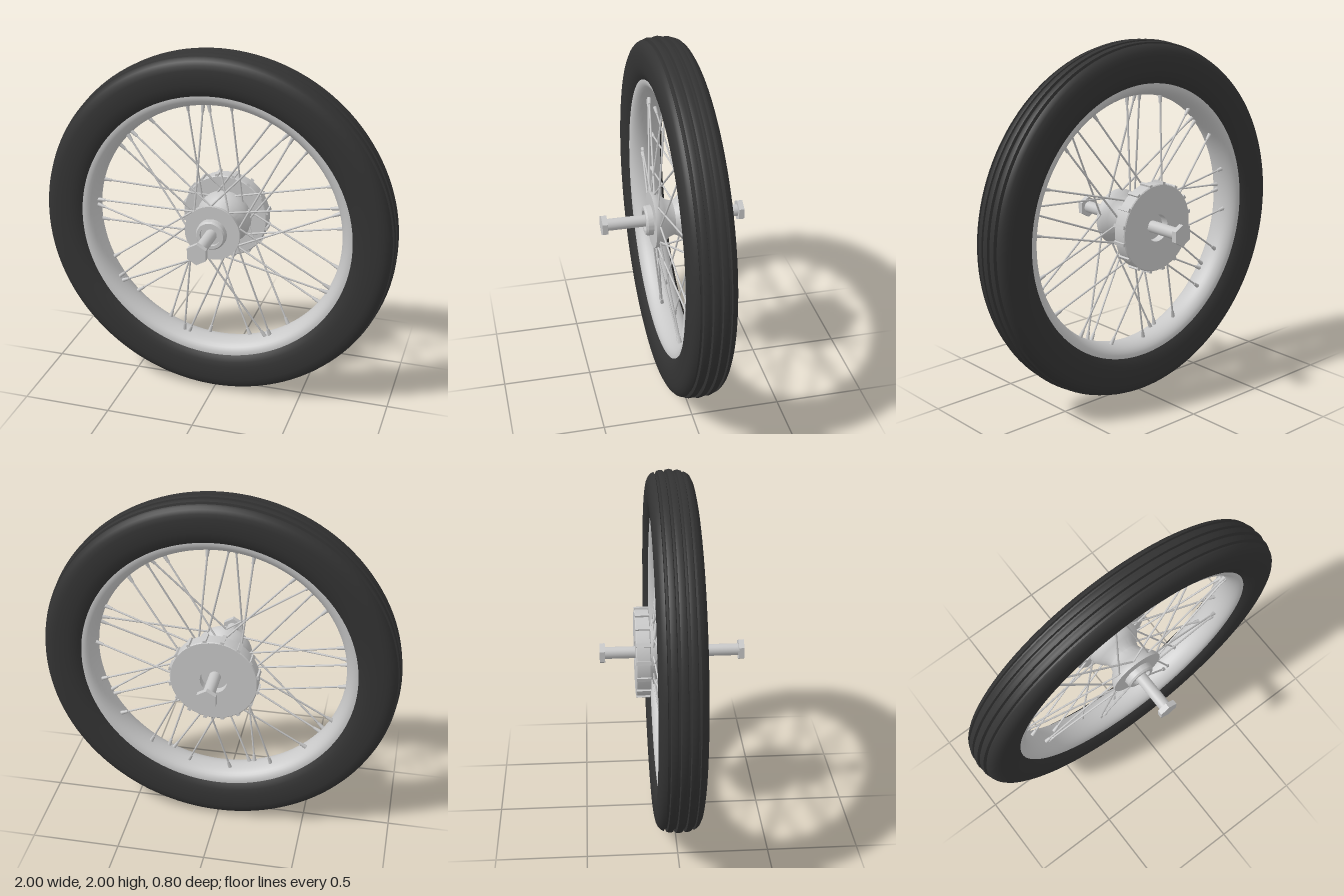
import * as THREE from 'three';
import { toCreasedNormals } from 'three/addons/utils/BufferGeometryUtils.js';

const rubber = new THREE.MeshStandardMaterial({ color: 0x333333 });
rubber.name = 'black rubber';
const metal = new THREE.MeshStandardMaterial({ color: 0xc8c8c8 });
metal.name = 'light metal';

// Profile points are [radius, z], turned round the z axis.
function turned(points, segments, crease = 0.6) {
  const g = new THREE.LatheGeometry(points.map(p => new THREE.Vector2(p[0], p[1])), segments);
  g.rotateX(Math.PI / 2);
  return toCreasedNormals(g, crease);
}

function polar(angle, r, z) {
  const a = THREE.MathUtils.degToRad(angle);
  return new THREE.Vector3(Math.cos(a) * r, Math.sin(a) * r, z);
}

export function createModel() {
  const model = new THREE.Group();
  model.name = 'spokedWheel';
  const wheel = new THREE.Group();
  wheel.name = 'wheel';
  wheel.position.y = 1;
  model.add(wheel);

  const add = (name, geometry, material, parent = wheel) => {
    const mesh = new THREE.Mesh(geometry, material);
    mesh.name = name;
    parent.add(mesh);
    return mesh;
  };

  // Tyre: rounded sidewalls and a tread with four grooves
  const half = [
    [0.765, 0.088], [0.785, 0.103], [0.81, 0.114], [0.84, 0.121], [0.88, 0.123],
    [0.92, 0.122], [0.945, 0.117], [0.965, 0.107], [0.978, 0.094], [0.984, 0.082],
    [0.972, 0.078], [0.972, 0.068], [0.99, 0.064], [0.995, 0.05], [0.993, 0.034],
    [0.977, 0.03], [0.977, 0.02], [0.996, 0.016], [1.0, 0],
  ];
  const mirrored = half.slice(0, -1).map(([r, z]) => [r, -z]);
  add('tyre', turned([...mirrored, ...half.slice().reverse(), [0.765, -0.088]], 128), rubber);

  // Rim: a band curving in towards the hub
  const rimPoints = [];
  for (let i = 0; i <= 16; i++) {
    const a = Math.PI * i / 16;
    rimPoints.push([0.768 - 0.066 * Math.sin(a), 0.094 * Math.cos(a)]);
  }
  rimPoints.push([0.778, -0.094], [0.778, 0.094], [0.768, 0.094]);
  add('rim', turned(rimPoints, 128), metal);

  // Hub shell: waisted barrel with a front flange and boss
  add('hubShell', turned([
    [0.033, -0.13], [0.155, -0.13], [0.155, -0.1], [0.148, -0.075], [0.13, -0.05],
    [0.105, -0.025], [0.095, 0], [0.105, 0.03], [0.13, 0.06], [0.148, 0.085],
    [0.157, 0.105], [0.157, 0.12], [0.085, 0.12], [0.083, 0.15], [0.075, 0.16],
    [0.058, 0.16], [0.058, 0.14], [0.033, 0.14],
  ], 64), metal);

  // Rear drum with an open centre and ribs round its edge
  const drum = new THREE.Group();
  drum.name = 'rearDrum';
  wheel.add(drum);
  add('drumBody', turned([
    [0.033, -0.16], [0.075, -0.16], [0.075, -0.205], [0.238, -0.205], [0.243, -0.2],
    [0.243, -0.13], [0.238, -0.125], [0.033, -0.125],
  ], 64), metal, drum);
  const ribCount = 16;
  for (let i = 0; i < ribCount; i++) {
    const angle = (i + 0.5) * 360 / ribCount;
    const rib = add('drumRib', new THREE.BoxGeometry(0.026, 0.02, 0.078), metal, drum);
    rib.position.copy(polar(angle, 0.24, -0.165));
    rib.rotation.z = THREE.MathUtils.degToRad(angle);
  }

  // Axle with a hexagonal head at each end
  add('axle', new THREE.CylinderGeometry(0.033, 0.033, 0.76, 32).rotateX(Math.PI / 2), metal);
  for (const side of [1, -1]) {
    const head = new THREE.CylinderGeometry(0.06, 0.06, 0.03, 6);
    head.rotateX(Math.PI / 2);
    const bolt = add(side > 0 ? 'frontAxleHead' : 'rearAxleHead', toCreasedNormals(head, 0.4), metal);
    bolt.position.z = side * 0.385;
  }

  // Spokes: nine groups of four, laced to both ends of the hub
  const spokes = new THREE.Group();
  spokes.name = 'spokes';
  wheel.add(spokes);
  const up = new THREE.Vector3(0, 1, 0);
  const spokeSet = [ // rim angle, hub angle shift, side
    [-10, -45, -1], [0, 45, 1], [0, -45, 1], [10, 45, -1],
  ];
  function rod(name, from, to, r0, r1, sides) {
    const length = from.distanceTo(to);
    const mesh = add(name, new THREE.CylinderGeometry(r1, r0, length, sides), metal, spokes);
    mesh.position.copy(from).add(to).multiplyScalar(0.5);
    mesh.quaternion.setFromUnitVectors(up, to.clone().sub(from).normalize());
  }
  for (let g = 0; g < 9; g++) {
    for (const [offset, shift, side] of spokeSet) {
      const angle = 95 + g * 40 + offset;
      const hubEnd = polar(angle + shift, 0.142, side > 0 ? 0.1 : -0.11);
      const rimEnd = polar(angle + Math.sign(shift) * (side > 0 ? 1.2 : 0), 0.71, side * 0.025);
      const collar = rimEnd.clone().lerp(hubEnd, 0.075);
      rod('spoke', hubEnd, rimEnd, 0.0055, 0.0055, 8);
      rod('spokeNipple', collar, rimEnd, 0.008, 0.012, 10);
    }
  }
  return model;
}
